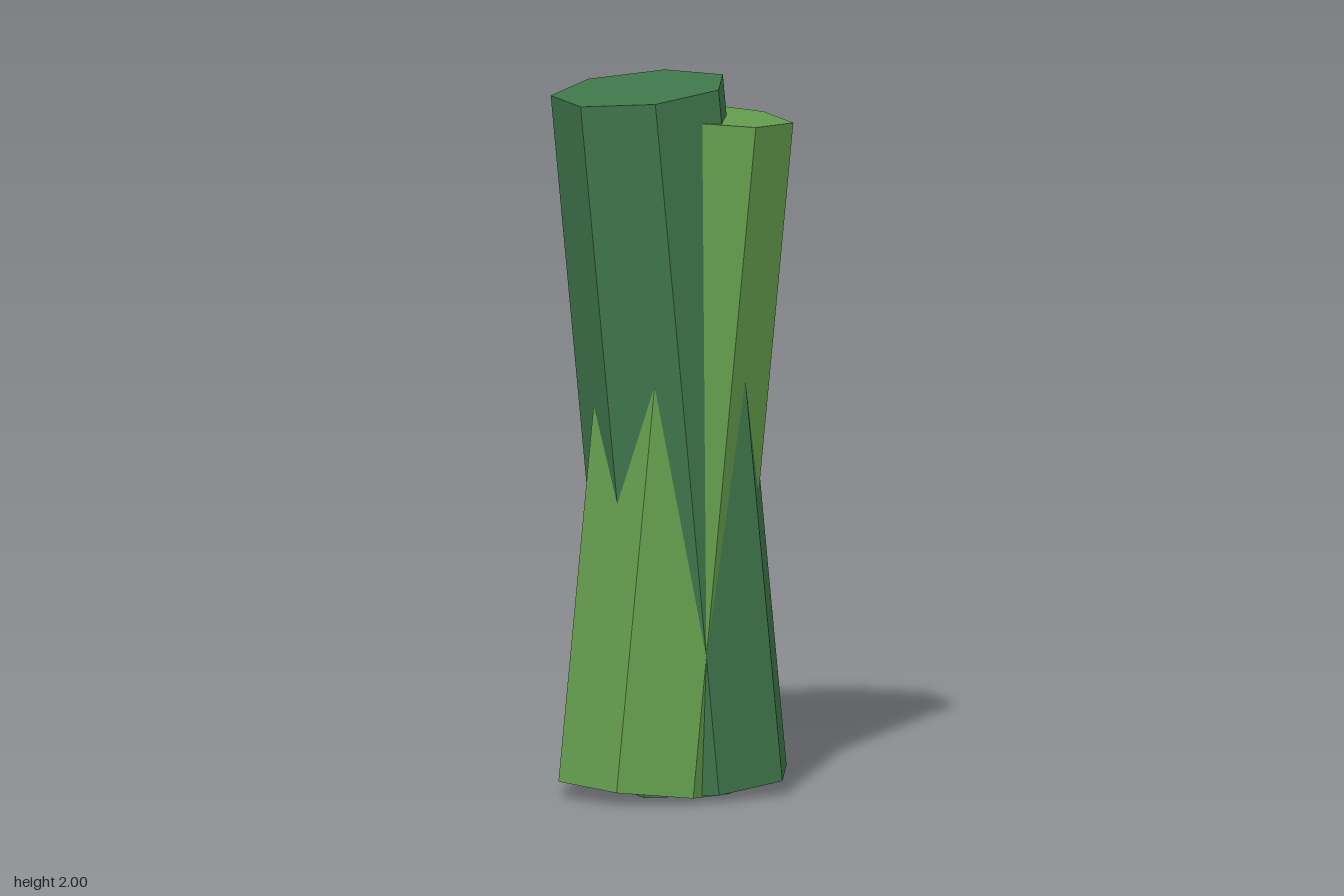
import * as THREE from 'three';

// Seven-sided stalk running from a bottom centre to a top centre, leaning in the x-y plane
function makeStalk(name, material, bottom, top, firstCorner) {
  const axis = top.clone().sub(bottom);
  const geometry = new THREE.CylinderGeometry(0.249, 0.249, axis.length(), 7, 1, false, firstCorner);
  const stalk = new THREE.Mesh(geometry, material);
  stalk.name = name;
  stalk.position.copy(bottom).add(top).multiplyScalar(0.5);
  stalk.rotation.z = -Math.atan2(axis.x, axis.y);
  return stalk;
}

export function createModel() {
  const darkGreen = new THREE.MeshStandardMaterial({ color: 0x40764b, flatShading: true });
  darkGreen.name = 'dark green';
  const lightGreen = new THREE.MeshStandardMaterial({ color: 0x659f4e, flatShading: true });
  lightGreen.name = 'light green';

  const group = new THREE.Group();
  group.name = 'crossedStalks';
  group.add(
    // taller stalk leans to -x, one corner pointing to +x
    makeStalk('darkStalk', darkGreen,
      new THREE.Vector3(0.094, 0.026, 0), new THREE.Vector3(-0.097, 1.975, 0), Math.PI / 2),
    // shorter stalk leans to +x, one corner pointing to -x
    makeStalk('lightStalk', lightGreen,
      new THREE.Vector3(-0.094, 0.0225, 0), new THREE.Vector3(0.094, 1.892, 0), -Math.PI / 2),
  );
  return group;
}
